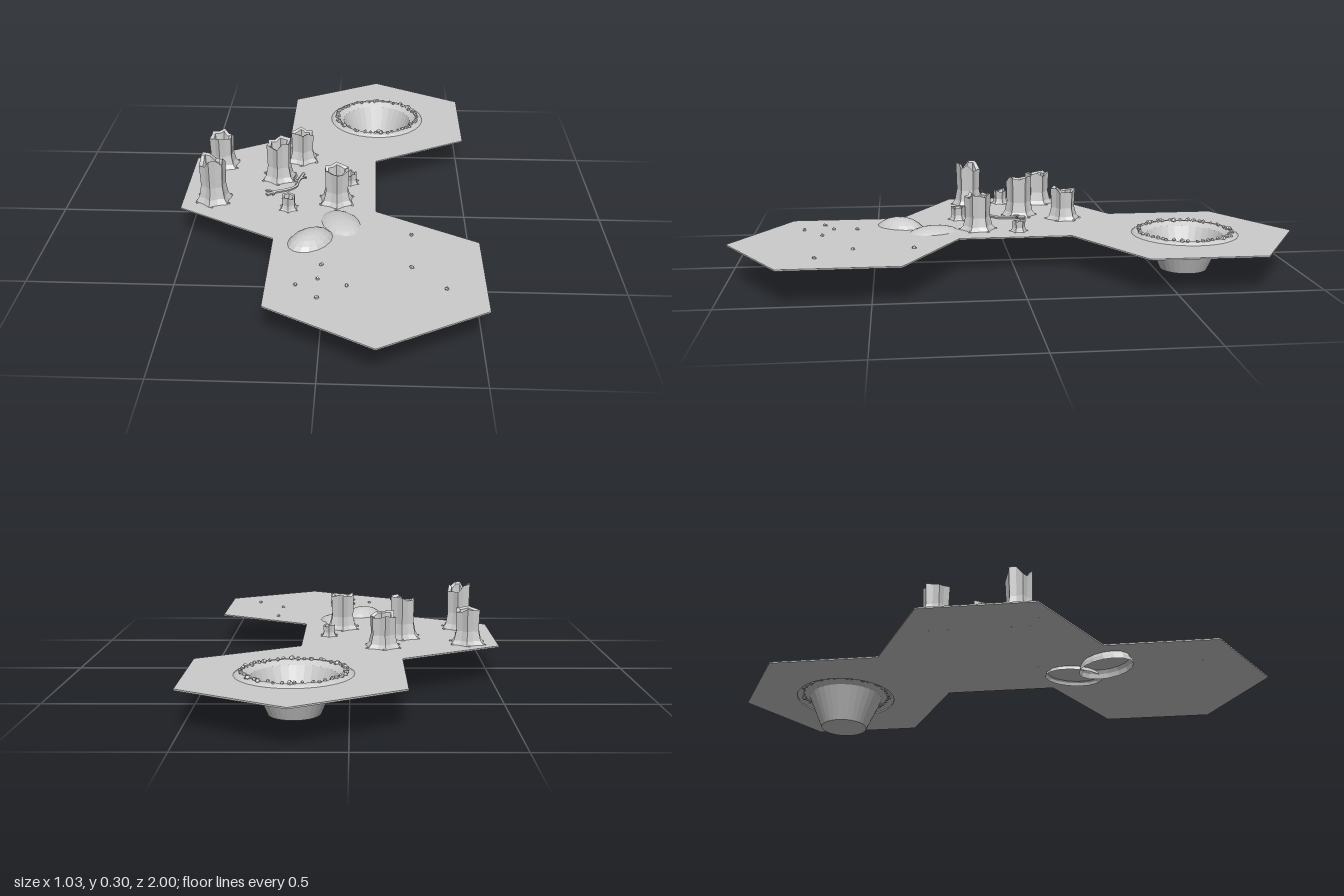
import * as THREE from 'three';

const GROUND = 0.128;
const stone = new THREE.MeshStandardMaterial({ color: 0xcccccc, side: THREE.DoubleSide });
stone.name = 'pale grey';

let seed = 7;
const rnd = () => (seed = (seed * 16807) % 2147483647) / 2147483647;

function add(parent, name, geometry, x = 0, y = 0, z = 0, flat = true) {
  let g = geometry;
  if (flat) {
    if (g.index) g = g.toNonIndexed();
    g.computeVertexNormals();
  }
  const mesh = new THREE.Mesh(g, stone);
  mesh.name = name;
  mesh.position.set(x, y, z);
  parent.add(mesh);
  return mesh;
}

// Three joined hexagons in one thin slab, with the crater opening cut out
function groundPlate(cx, cz) {
  const outline = [
    [0.17, -1], [0.515, -0.8], [0.515, -0.4], [0.17, -0.2], [0.17, 0.2], [0.515, 0.4],
    [0.515, 0.8], [0.17, 1], [-0.175, 0.8], [-0.175, 0.4], [-0.52, 0.2], [-0.52, -0.2],
    [-0.175, -0.4], [-0.175, -0.8],
  ];
  const shape = new THREE.Shape(outline.map(([x, z]) => new THREE.Vector2(x, -z)));
  const hole = new THREE.Path();
  hole.absarc(cx, -cz, 0.186, 0, Math.PI * 2, true);
  shape.holes.push(hole);
  const g = new THREE.ExtrudeGeometry(shape, { depth: 0.005, bevelEnabled: false, curveSegments: 32 });
  return g.rotateX(-Math.PI / 2);
}

// Hollow hexagonal trunk: flared foot, straight shaft, jagged rim and sunken core
function stumpGeometry(r, h) {
  const jag = Array.from({ length: 12 }, () => rnd());
  const rings = [
    [r * 1.3, 0], [r * 1.02, h * 0.12], [r * 0.86, h * 0.36], [r * 0.92, h],
    [r * 0.66, h * 0.96], [r * 0.5, h * 0.45], [0.0001, h * 0.45],
  ];
  const pos = [], idx = [], n = 12;
  rings.forEach(([rad, y], k) => {
    for (let i = 0; i < n; i++) {
      const a = (i / n) * Math.PI * 2 + Math.PI / 6;
      const corner = i % 2 ? 0.83 : 1.05;
      const drop = k === 3 || k === 4 ? jag[i] * h * 0.2 : 0;
      pos.push(Math.cos(a) * rad * corner, y - drop, Math.sin(a) * rad * corner);
    }
  });
  for (let k = 0; k < rings.length - 1; k++) {
    for (let i = 0; i < n; i++) {
      const a = k * n + i, b = k * n + ((i + 1) % n), c = a + n, d = b + n;
      idx.push(a, c, b, b, c, d);
    }
  }
  const g = new THREE.BufferGeometry();
  g.setAttribute('position', new THREE.Float32BufferAttribute(pos, 3));
  g.setIndex(idx);
  return g;
}

function pebble(parent, name, x, y, z, r) {
  const m = add(parent, name, new THREE.DodecahedronGeometry(r), x, y, z);
  m.rotation.set(rnd() * 3, rnd() * 3, rnd() * 3);
  m.scale.set(1, 0.8, 0.7 + rnd() * 0.4);
}

function crater(cx, cz) {
  const group = new THREE.Group();
  group.name = 'crater';
  group.position.set(cx, 0, cz);
  const profile = [[0.0001, 0], [0.085, 0], [0.138, 0.122], [0.162, 0.137], [0.18, 0.135], [0.192, 0.126]];
  add(group, 'craterBowl', new THREE.LatheGeometry(profile.map(([r, y]) => new THREE.Vector2(r, y)), 32));
  // Loose stones around the rim
  for (let i = 0; i < 44; i++) {
    const a = (i / 44) * Math.PI * 2 + rnd() * 0.08, r = 0.157 + rnd() * 0.012;
    pebble(group, 'rimStone', Math.cos(a) * r, 0.138, Math.sin(a) * r, 0.006 + rnd() * 0.005);
  }
  // Fallen rock resting on a lumpy mound
  const mound = new THREE.SphereGeometry(0.058, 14, 5, 0, Math.PI * 2, 0, Math.PI / 2);
  mound.scale(1, 0.45, 1);
  add(group, 'craterMound', mound, 0, 0.001, 0);
  for (let i = 0; i < 16; i++) {
    const a = i * 2.4, r = 0.012 * Math.sqrt(i + 1);
    pebble(group, 'moundStone', Math.cos(a) * r, 0.025 - r * 0.25, Math.sin(a) * r, 0.009);
  }
  const rock = add(group, 'fallenRock', new THREE.CylinderGeometry(0.017, 0.022, 0.06, 6), 0.005, 0.042, 0);
  rock.rotation.set(0.35, 0.4, -0.45);
  return group;
}

// Low-poly half ellipsoid, open underneath
function hill(parent, x, y, z, rx, h, rz, turn) {
  const g = new THREE.SphereGeometry(1, 16, 6, 0, Math.PI * 2, 0, Math.PI / 2);
  g.scale(rx, h, rz);
  add(parent, 'hill', g, x, y, z).rotation.y = turn;
}

function twig(parent, points, r) {
  const path = new THREE.CatmullRomCurve3(points.map(([x, y, z]) => new THREE.Vector3(x, y, z)));
  add(parent, 'branch', new THREE.TubeGeometry(path, points.length * 3, r, 5), 0, 0, 0);
}

export function createModel() {
  const model = new THREE.Group();
  model.name = 'hexTerrain';
  const cx = 0.172, cz = -0.606;
  add(model, 'ground', groundPlate(cx, cz), 0, GROUND - 0.005, 0);
  model.add(crater(cx, cz));

  // Tall trunks and small stumps: x, z, radius, height
  const stumps = [
    [-0.41, 0.13, 0.05, 0.177], [-0.19, -0.05, 0.05, 0.157], [-0.115, -0.21, 0.05, 0.13],
    [-0.415, -0.15, 0.05, 0.138], [0.03, 0.125, 0.05, 0.137],
    [-0.42, 0, 0.027, 0.06], [-0.138, 0.187, 0.027, 0.055], [0.077, -0.02, 0.025, 0.045],
  ];
  for (const [x, z, r, h] of stumps) {
    add(model, 'stump', stumpGeometry(r, h), x, GROUND - 0.002, z).rotation.y = rnd() * 0.5 - 0.25;
    // Root tips at the corners of the foot
    for (let i = 0; i < 6; i++) {
      const a = (i / 6) * Math.PI * 2 + Math.PI / 6;
      pebble(model, 'rootTip', x + Math.cos(a) * r * 1.3, GROUND, z + Math.sin(a) * r * 1.3, r * 0.12);
    }
  }

  // Fallen branch with side twigs
  const b = GROUND + 0.006;
  twig(model, [[-0.225, b, 0.1], [-0.19, b, 0.075], [-0.15, b, 0.058], [-0.122, b, 0.03],
    [-0.118, b, -0.005], [-0.1, b + 0.004, -0.065]], 0.006);
  twig(model, [[-0.19, b, 0.075], [-0.2, b, 0.09], [-0.2, b, 0.105]], 0.004);
  twig(model, [[-0.2, b, 0.082], [-0.215, b, 0.07], [-0.23, b, 0.068]], 0.004);
  twig(model, [[-0.118, b, 0], [-0.13, b + 0.003, -0.02], [-0.125, b + 0.006, -0.045]], 0.004);
  twig(model, [[-0.113, b, -0.025], [-0.1, b + 0.003, -0.035], [-0.088, b + 0.006, -0.03]], 0.004);

  hill(model, -0.049, 0.091, 0.405, 0.107, 0.07, 0.077, 0.95);
  hill(model, 0.05, 0.107, 0.285, 0.108, 0.041, 0.074, -1.2);

  // Scattered pebbles
  const pebbles = [[0.29, 0.36], [0.285, 0.565], [0.39, 0.685], [0.08, 0.68], [-0.08, 0.68],
    [-0.012, 0.645], [-0.004, 0.56], [-0.01, 0.75]];
  for (const [x, z] of pebbles) pebble(model, 'pebble', x, GROUND + 0.002, z, 0.008);
  return model;
}
